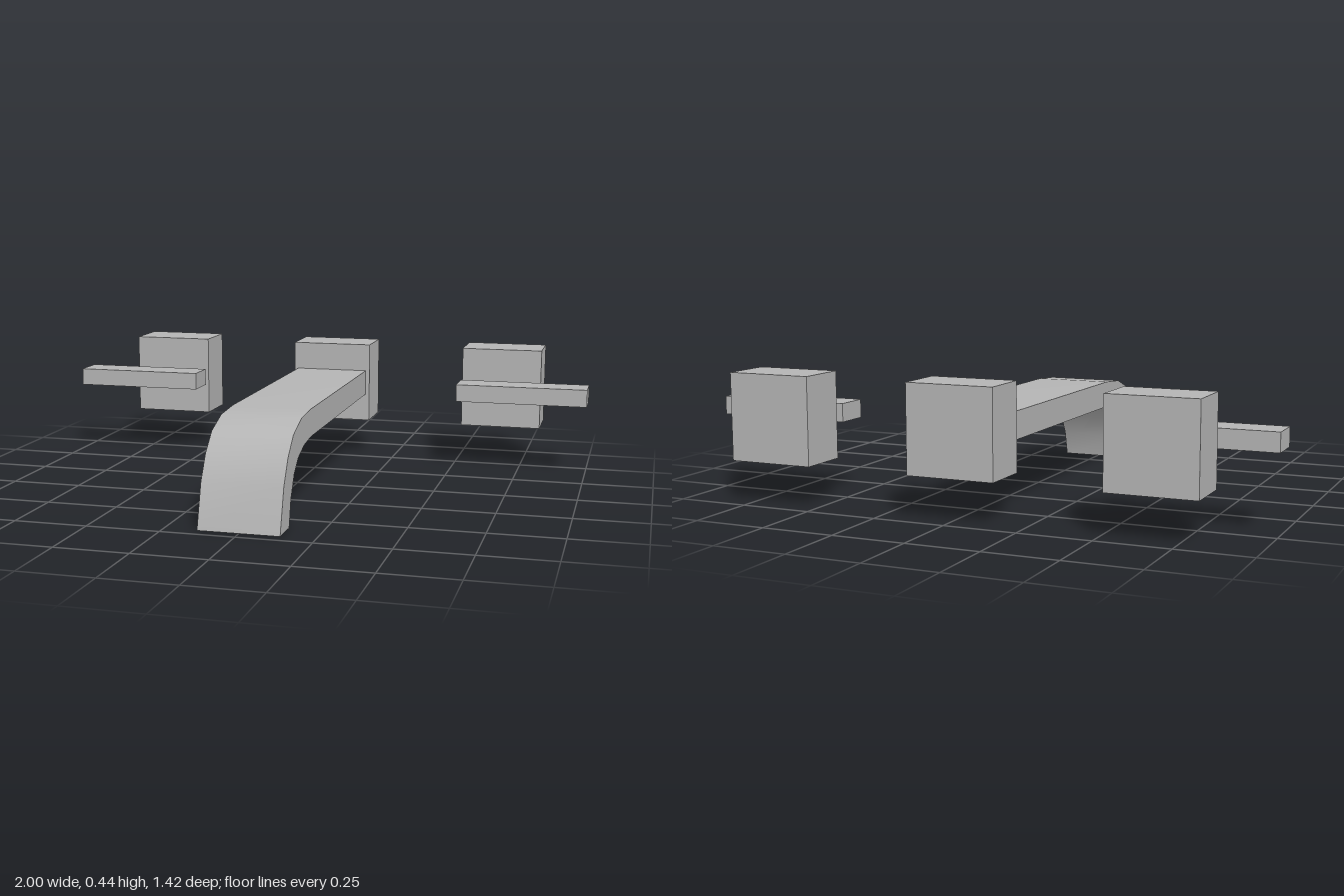
import * as THREE from 'three';
import { toCreasedNormals } from 'three/addons/utils/BufferGeometryUtils.js';

export function createModel() {
  const model = new THREE.Group();
  model.name = 'wallFaucet';
  const metal = new THREE.MeshStandardMaterial({ color: 0xb4b4b4 });
  metal.name = 'brushedMetal';

  const add = (parent, name, geometry, x, y, z) => {
    const mesh = new THREE.Mesh(geometry, metal);
    mesh.name = name;
    mesh.position.set(x, y, z);
    parent.add(mesh);
    return mesh;
  };

  // Spout: side profile (z, y) extruded across the width
  const profile = [
    [-0.53, 0.243], [0.326, 0.243], [0.414, 0.232], [0.49, 0.205], [0.539, 0.163], [0.58, 0.09], [0.602, 0],
    [0.708, 0], [0.664, 0.148], [0.615, 0.231], [0.55, 0.292], [0.45, 0.328], [0.326, 0.337], [-0.53, 0.337],
  ];
  const width = 0.274;
  const shape = new THREE.Shape(profile.map(([z, y]) => new THREE.Vector2(z, y)));
  const spout = new THREE.ExtrudeGeometry(shape, { depth: width, bevelEnabled: false });
  spout.translate(0, 0, -width / 2).rotateY(-Math.PI / 2);
  add(model, 'spout', toCreasedNormals(spout, 0.6), -0.002, 0, 0);

  // Wall block behind the spout
  add(model, 'spoutBlock', new THREE.BoxGeometry(0.304, 0.3, 0.18), -0.002, 0.29, -0.619);

  // Left and right valves: wall block, short round stem and lever pointing outward
  for (const side of [1, -1]) {
    const valve = new THREE.Group();
    valve.name = side > 0 ? 'leftValve' : 'rightValve';
    add(valve, 'valveBlock', new THREE.BoxGeometry(0.3, 0.3, 0.18), side * 0.667, 0.29, -0.619);
    const stem = add(valve, 'stem', new THREE.CylinderGeometry(0.026, 0.026, 0.05, 24), side * 0.667, 0.29, -0.51);
    stem.rotation.x = Math.PI / 2;
    add(valve, 'lever', new THREE.BoxGeometry(0.483, 0.064, 0.12), side * 0.7585, 0.291, -0.432);
    model.add(valve);
  }
  return model;
}
